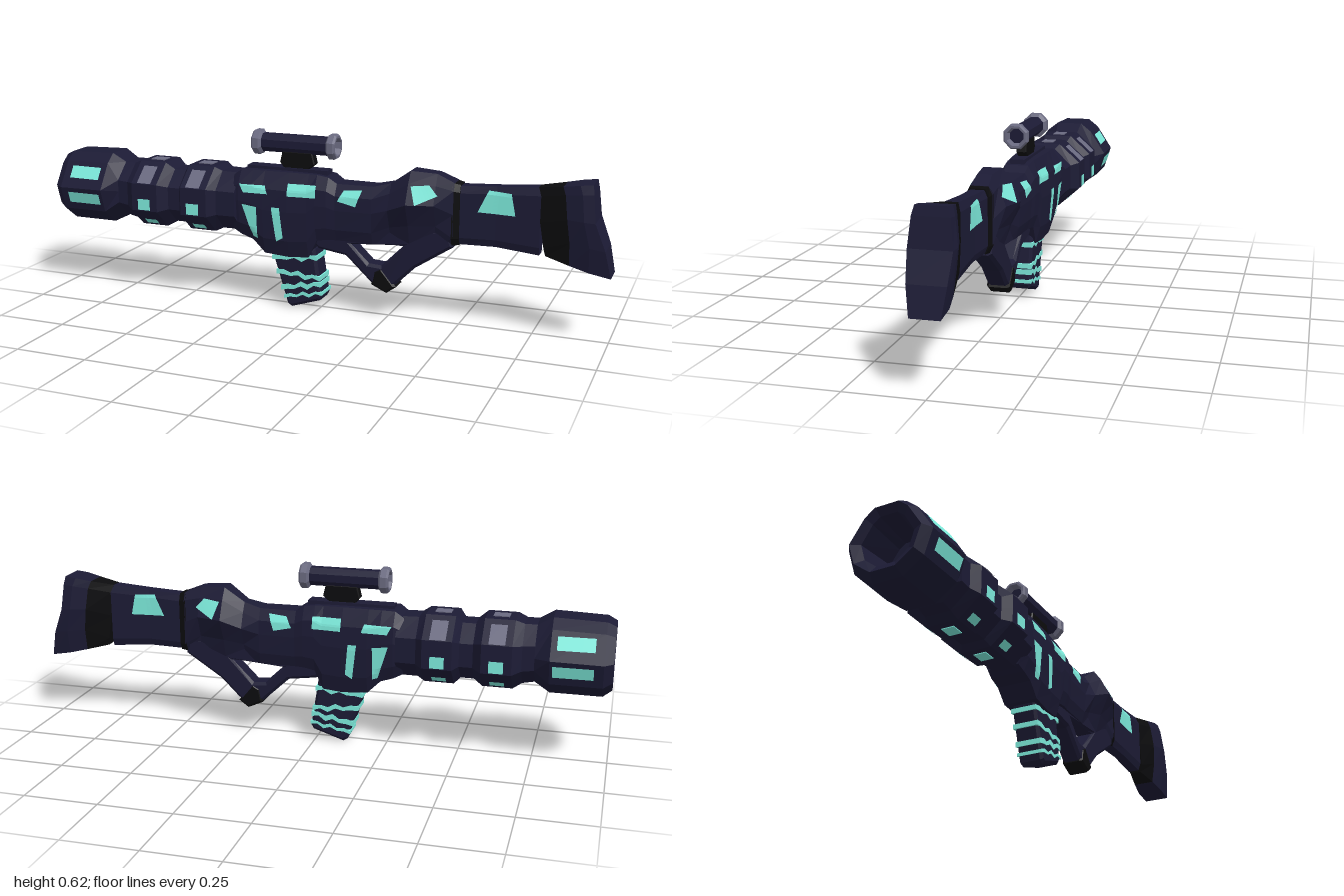
import * as THREE from 'three';

const mat = (color, side = THREE.FrontSide) => new THREE.MeshStandardMaterial({ color, flatShading: true, side });
const navy = mat(0x1c1b35), black = mat(0x0c0c0e), steel = mat(0x6a6a80);
const teal = mat(0x7debdc, THREE.DoubleSide), grey = mat(0x6a6a80, THREE.DoubleSide);

// Half cross-sections, bottom to top: [share of half width, share of height]
const OCT = [[0.41, 0], [1, 0.29], [1, 0.5], [1, 0.71], [0.41, 1]];
const MUZ = [[0.35, 0], [0.82, 0.2], [1, 0.53], [0.6, 0.88], [0.33, 1]];
const REC = [[0.7, 0], [0.92, 0.2], [1, 0.55], [0.95, 0.8], [0.6, 1]];
const BUL = [[0.35, 0], [0.6, 0.3], [1, 0.6], [0.65, 0.85], [0.35, 1]];
const STK = [[0.7, 0], [1, 0.12], [1, 0.5], [1, 0.88], [0.7, 1]];
const BUT = [[0.7, 0], [0.9, 0.3], [1, 0.6], [0.85, 0.9], [0.72, 1]];

// Sections along x: [x, bottom, top, half width, profile, optional x shift per profile point]
const barrelRows = [
  [-0.86, 0.31, 0.44, 0.075, MUZ], [-0.985, 0.295, 0.46, 0.09, MUZ], [-1, 0.272, 0.485, 0.122, MUZ],
  [-0.97, 0.25, 0.5, 0.143, MUZ], [-0.8, 0.25, 0.505, 0.147, MUZ], [-0.75, 0.28, 0.475, 0.105, OCT],
  [-0.71, 0.272, 0.475, 0.108, OCT], [-0.68, 0.253, 0.487, 0.13, OCT], [-0.58, 0.253, 0.487, 0.13, OCT],
  [-0.55, 0.272, 0.463, 0.1, OCT], [-0.505, 0.272, 0.463, 0.1, OCT], [-0.485, 0.253, 0.487, 0.13, OCT],
  [-0.385, 0.253, 0.487, 0.13, OCT], [-0.36, 0.265, 0.472, 0.102, OCT], [-0.29, 0.265, 0.47, 0.098, OCT],
];
const receiverRows = [
  [-0.31, 0.27, 0.465, 0.08, REC], [-0.28, 0.255, 0.487, 0.087, REC], [-0.235, 0.24, 0.488, 0.087, REC],
  [-0.19, 0.195, 0.488, 0.086, REC], [-0.1, 0.187, 0.488, 0.08, REC], [-0.03, 0.192, 0.487, 0.073, REC],
  [0, 0.255, 0.486, 0.071, REC], [0.04, 0.262, 0.48, 0.068, REC], [0.07, 0.262, 0.46, 0.062, REC],
  [0.2, 0.262, 0.46, 0.056, REC], [0.26, 0.262, 0.475, 0.068, BUL], [0.33, 0.262, 0.525, 0.092, BUL],
  [0.42, 0.27, 0.52, 0.068, BUL], [0.48, 0.285, 0.495, 0.042, STK],
];
const ringRows = [[0.475, 0.283, 0.495, 0.043, STK], [0.5, 0.285, 0.49, 0.036, STK]];
const stockRows = [[0.5, 0.288, 0.486, 0.032, STK], [0.62, 0.29, 0.493, 0.027, STK], [0.765, 0.277, 0.503, 0.03, STK]];
const bandRows = [
  [0.765, 0.277, 0.503, 0.03, STK, [0.02, 0.015, 0, 0, -0.01]],
  [0.855, 0.258, 0.515, 0.055, BUT, [0.01, 0.01, 0, -0.01, -0.02]],
];
const buttRows = [
  bandRows[1], [0.91, 0.243, 0.525, 0.069, BUT, [0.02, 0.02, 0, -0.01, -0.02]],
  [0.96, 0.23, 0.53, 0.066, BUT, [0.04, 0.02, -0.015, -0.025, -0.03]],
];

// Skin a row list with ten-sided rings and capped ends
function loft(rows) {
  const pos = [], idx = [];
  for (const [x, b, t, w, prof, dx] of rows) {
    for (let k = 0; k < 10; k++) {
      const j = k < 5 ? k : 9 - k;
      pos.push(x + (dx ? dx[j] : 0), b + (t - b) * prof[j][1], (k < 5 ? 1 : -1) * w * prof[j][0]);
    }
  }
  const last = (rows.length - 1) * 10;
  for (let r = 0; r < last; r += 10) {
    for (let k = 0; k < 10; k++) {
      const a = r + k, b = r + (k + 1) % 10;
      idx.push(a, a + 10, b + 10, a, b + 10, b);
    }
  }
  for (let j = 0; j < 4; j++) {
    idx.push(j, j + 1, 8 - j, j, 8 - j, 9 - j);
    idx.push(last + j, last + 8 - j, last + j + 1, last + j, last + 9 - j, last + 8 - j);
  }
  const g = new THREE.BufferGeometry();
  g.setAttribute('position', new THREE.Float32BufferAttribute(pos, 3));
  g.setIndex(idx);
  g.computeVertexNormals();
  return g;
}

// Half width of a loft at (x, y)
function halfWidth(rows, x, y) {
  const i = rows.findIndex((r, k) => k + 1 < rows.length && rows[k + 1][0] > r[0] && x >= r[0] && x <= rows[k + 1][0]);
  const A = rows[i], B = rows[i + 1], f = (x - A[0]) / (B[0] - A[0]);
  const pts = A[4].map((p, j) => [0, 1].map((c) => {
    const at = (R) => (c ? R[1] + (R[2] - R[1]) * R[4][j][1] : R[3] * R[4][j][0]);
    return at(A) + (at(B) - at(A)) * f;
  }));
  let j = 0;
  while (j < 3 && y > pts[j + 1][1]) j++;
  const s = THREE.MathUtils.clamp((y - pts[j][1]) / (pts[j + 1][1] - pts[j][1]), 0, 1);
  return pts[j][0] + (pts[j + 1][0] - pts[j][0]) * s;
}

// Four-cornered patch (bottom left, bottom right, top right, top left) laid on a loft's side
function patch(rows, c, sign) {
  const g = new THREE.PlaneGeometry(1, 1, 6, 6), p = g.attributes.position;
  for (let i = 0; i < p.count; i++) {
    const u = p.getX(i) + 0.5, v = p.getY(i) + 0.5;
    const [x, y] = [0, 1].map((k) => (c[0][k] * (1 - u) + c[1][k] * u) * (1 - v) + (c[3][k] * (1 - u) + c[2][k] * u) * v);
    p.setXYZ(i, x, y, sign * (halfWidth(rows, x, y) + 0.004));
  }
  g.computeVertexNormals();
  return g;
}

// Bevelled side-profile slab centred on z = 0
function slab(pts, half, bevel, hole) {
  const shape = new THREE.Shape(pts.map((p) => new THREE.Vector2(...p)));
  if (hole) shape.holes.push(new THREE.Path(hole.map((p) => new THREE.Vector2(...p))));
  return new THREE.ExtrudeGeometry(shape, {
    depth: 2 * (half - bevel), bevelEnabled: bevel > 0, bevelThickness: bevel,
    bevelSize: bevel, bevelOffset: -bevel, bevelSegments: 1,
  }).translate(0, 0, bevel - half);
}

export function createModel() {
  const model = new THREE.Group();
  const add = (name, geo, material) => {
    const m = new THREE.Mesh(geo, material);
    m.name = name;
    model.add(m);
    return m;
  };
  const box = (name, x0, x1, y0, y1, half, material) =>
    add(name, new THREE.BoxGeometry(x1 - x0, y1 - y0, 2 * half).translate((x0 + x1) / 2, (y0 + y1) / 2, 0), material);
  const panel = (name, rows, corners, material = teal) => {
    for (const s of [1, -1]) add(name, patch(rows, corners, s), material);
  };
  const rect = (x0, x1, y0, y1) => [[x0, y0], [x1, y0], [x1, y1], [x0, y1]];

  // Main body
  add('barrel', loft(barrelRows), navy);
  add('receiver', loft(receiverRows), navy);
  add('stockRing', loft(ringRows), black);
  add('stock', loft(stockRows), navy);
  add('stockBand', loft(bandRows), black);
  add('butt', loft(buttRows), navy);

  // Barrel panels
  panel('muzzlePanel', barrelRows, rect(-0.94, -0.82, 0.418, 0.458));
  panel('muzzlePanel', barrelRows, rect(-0.94, -0.81, 0.328, 0.368));
  for (const x of [-0.63, -0.437]) {
    panel('upperVent', barrelRows, rect(x - 0.027, x + 0.027, 0.422, 0.474), grey);
    panel('sidePanel', barrelRows, rect(x - 0.024, x + 0.024, 0.325, 0.365));
    panel('lowerPanel', barrelRows, rect(x - 0.024, x + 0.024, 0.262, 0.281));
    box('topVent', x - 0.027, x + 0.027, 0.48, 0.49, 0.022, steel);
    box('bottomPanel', x - 0.024, x + 0.024, 0.25, 0.26, 0.022, teal);
  }

  // Receiver and stock panels
  panel('receiverPanel', receiverRows, [[-0.26, 0.413], [-0.17, 0.413], [-0.18, 0.442], [-0.275, 0.442]]);
  panel('receiverPanel', receiverRows, rect(-0.098, 0.004, 0.41, 0.453));
  panel('receiverPanel', receiverRows, [[0.08, 0.405], [0.145, 0.39], [0.165, 0.447], [0.1, 0.442]]);
  panel('bulgePanel', receiverRows, [[0.36, 0.42], [0.43, 0.452], [0.4, 0.485], [0.34, 0.48]]);
  panel('stockPanel', stockRows, [[0.56, 0.405], [0.685, 0.402], [0.67, 0.475], [0.595, 0.48]]);
  panel('fangPanel', receiverRows, [[-0.228, 0.255], [-0.21, 0.25], [-0.21, 0.365], [-0.265, 0.372]]);
  panel('fangPanel', receiverRows, [[-0.14, 0.245], [-0.115, 0.26], [-0.125, 0.368], [-0.155, 0.368]]);

  // Grip loop under the bulge
  add('gripLoop', slab(
    [[-0.03, 0.25], [0, 0.222], [0.1, 0.208], [0.2, 0.115], [0.25, 0.095], [0.29, 0.13], [0.35, 0.19], [0.48, 0.275], [0.47, 0.33], [0, 0.33]],
    0.036, 0.01, [[0.12, 0.25], [0.31, 0.265], [0.23, 0.185], [0.185, 0.188]]), navy);
  add('gripSleeve', slab([[0.195, 0.115], [0.25, 0.09], [0.285, 0.115], [0.232, 0.18], [0.205, 0.165]], 0.039, 0.008), black);

  // Magazine with jagged wrapped stripes
  add('magazine', slab([[-0.18, 0.22], [-0.115, 0.01], [-0.1, 0], [0.008, 0.035], [0.016, 0.05], [-0.01, 0.22]], 0.044, 0.01), navy);
  for (const [y, rise, thick] of [[0.178, 0.012, 0.011], [0.128, -0.012, 0.011], [0.07, 0.025, 0.012], [0.038, 0.025, 0.008]]) {
    const left = -0.183 + (0.22 - y) * 0.31, right = 0.019 - (y + rise - 0.05) * 0.153;
    const upper = [], lower = [];
    for (let i = 0; i <= 6; i++) {
      const x = left + (right - left) * i / 6, c = y + rise * i / 6 + (i % 2 ? 0.004 : -0.004);
      upper.push([x, c + thick * (i % 3 ? 0.6 : 1)]);
      lower.unshift([x, c - thick * (i % 3 === 1 ? 1 : 0.5)]);
    }
    add('magazineStripe', slab([...upper, ...lower], 0.046, 0), teal);
  }

  // Top rail and scope mount
  box('rail', -0.27, 0.03, 0.482, 0.498, 0.025, navy);
  add('scopeMount', slab([[-0.13, 0.49], [-0.05, 0.49], [-0.02, 0.515], [-0.03, 0.555], [-0.14, 0.555], [-0.15, 0.515]], 0.018, 0.004), black);

  // Eight-sided scope with recessed ends
  const k = 1 / Math.cos(Math.PI / 8);
  const turned = (pts) => new THREE.LatheGeometry(pts.map(([r, x]) => new THREE.Vector2(r * k, x)), 8, Math.PI / 8)
    .rotateZ(-Math.PI / 2);
  const scope = new THREE.Group();
  scope.name = 'scope';
  scope.position.set(-0.095, 0.58, 0);
  const tube = new THREE.Mesh(turned([[0, -0.13], [0.031, -0.13], [0.031, 0.13], [0, 0.13]]), navy);
  tube.name = 'scopeTube';
  scope.add(tube);
  for (const s of [0, 1]) {
    const cap = new THREE.Mesh(turned([[0.024, -0.131], [0.03, -0.155], [0.037, -0.155], [0.042, -0.148], [0.042, -0.128], [0.031, -0.12]]), steel);
    cap.name = 'scopeRing';
    cap.rotation.y = s * Math.PI;
    scope.add(cap);
  }
  model.add(scope);
  return model;
}
